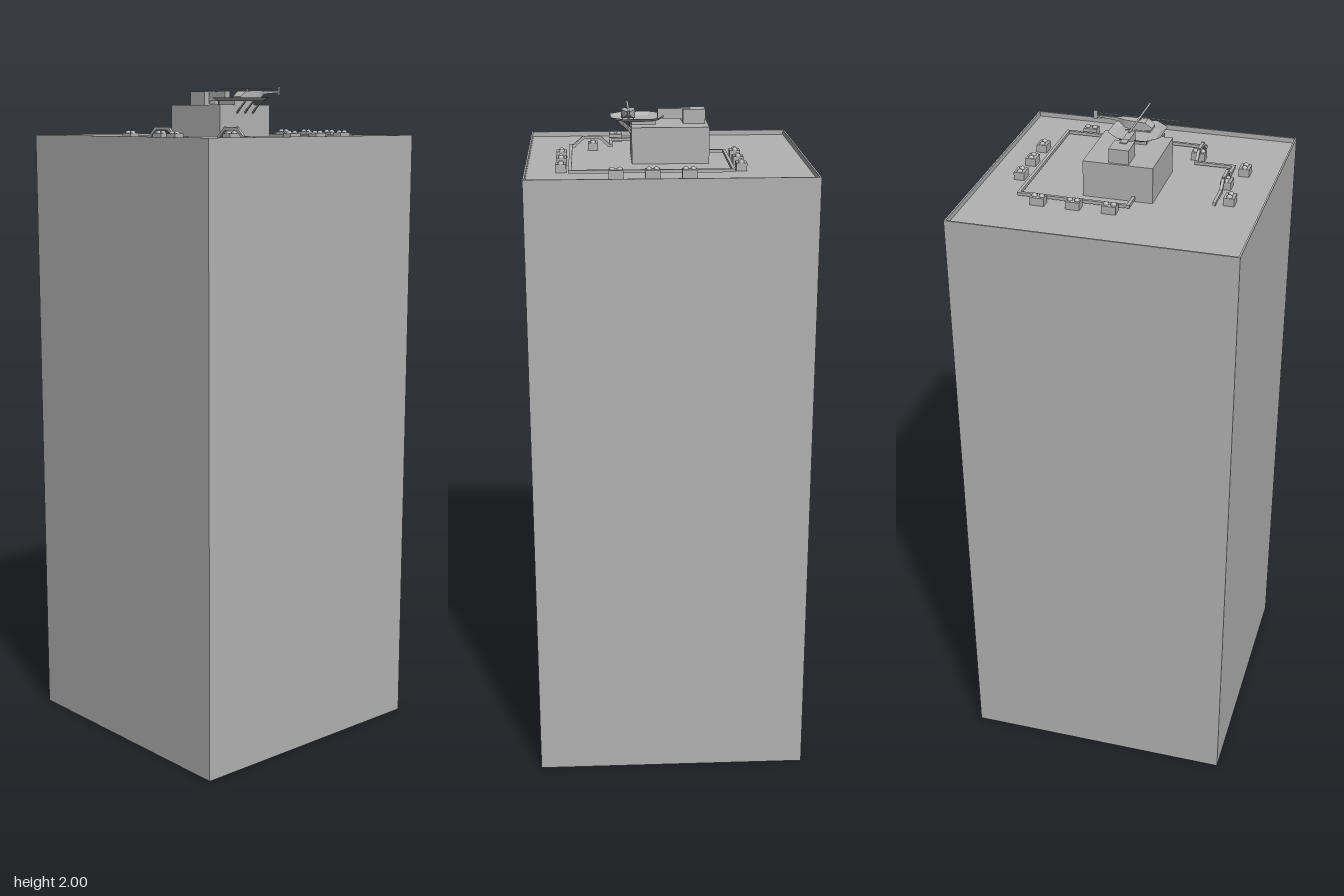
import * as THREE from 'three';

const grey = new THREE.MeshStandardMaterial({ color: 0xb2b2b2, side: THREE.DoubleSide });
grey.name = 'concrete grey';
const ROOF = 1.84;

function part(parent, name, geometry, x = 0, y = 0, z = 0) {
  const mesh = new THREE.Mesh(geometry, grey);
  mesh.name = name;
  mesh.position.set(x, y, z);
  parent.add(mesh);
  return mesh;
}

// box given by its limits on each axis
function block(parent, name, [x0, x1], [y0, y1], [z0, z1]) {
  return part(parent, name, new THREE.BoxGeometry(x1 - x0, y1 - y0, z1 - z0),
    (x0 + x1) / 2, (y0 + y1) / 2, (z0 + z1) / 2);
}

// square bar between two points
function bar(parent, name, a, b, size) {
  const mesh = part(parent, name, new THREE.BoxGeometry(size, size, a.distanceTo(b) + size * 0.9));
  mesh.position.copy(a).add(b).multiplyScalar(0.5);
  mesh.lookAt(b);
  return mesh;
}

// faceted skin through rings of equal point count, with optional end caps
function loft(rings, capStart, capEnd) {
  const pos = [];
  const tri = (...pts) => pts.forEach(p => pos.push(...p));
  const n = rings[0].length;
  for (let r = 0; r + 1 < rings.length; r++) {
    for (let i = 0; i < n; i++) {
      const j = (i + 1) % n, [p, q] = [rings[r], rings[r + 1]];
      tri(p[i], p[j], q[j]);
      tri(p[i], q[j], q[i]);
    }
  }
  const first = rings[0], last = rings[rings.length - 1];
  for (let i = 1; i + 1 < n; i++) {
    if (capStart) tri(first[0], first[i + 1], first[i]);
    if (capEnd) tri(last[0], last[i], last[i + 1]);
  }
  const g = new THREE.BufferGeometry();
  g.setAttribute('position', new THREE.Float32BufferAttribute(pos, 3));
  g.computeVertexNormals();
  return g;
}

const square = (s, y) => [[s, y, s], [s, y, -s], [-s, y, -s], [-s, y, s]];
const octagon = (s, e, y) => [[s, y, e], [s, y, -e], [e, y, -s], [-e, y, -s],
  [-s, y, -e], [-s, y, e], [-e, y, s], [e, y, s]];

// rooftop unit: a box with two domed fans
function fanUnit(parent, x, z, turned) {
  const unit = new THREE.Group();
  unit.name = 'fanUnit';
  part(unit, 'unitBox', new THREE.BoxGeometry(0.041, 0.023, 0.031), 0, 0.0115, 0);
  for (const s of [-1, 1]) {
    part(unit, 'fanDome',
      new THREE.SphereGeometry(0.0085, 12, 5, 0, Math.PI * 2, 0, Math.PI / 2).scale(1, 0.9, 1),
      s * 0.0108, 0.023, 0);
  }
  unit.position.set(x, ROOF, z);
  if (turned) unit.rotation.y = Math.PI / 2;
  parent.add(unit);
}

function helicopter() {
  const heli = new THREE.Group();
  heli.name = 'helicopter';
  // z, half width, bottom, top; from nose to tail
  const sections = [
    [0.04, 0.017, 0.006, 0.012], [0.02, 0.02, 0.004, 0.028], [-0.02, 0.02, 0.004, 0.03],
    [-0.042, 0.016, 0.007, 0.03], [-0.066, 0.004, 0.02, 0.029], [-0.132, 0.002, 0.025, 0.029],
  ];
  part(heli, 'fuselage', loft(sections.map(([z, w, lo, hi]) =>
    [[w, hi, z], [w, lo, z], [-w, lo, z], [-w, hi, z]]), true, true));
  block(heli, 'tailFin', [-0.001, 0.001], [0.018, 0.043], [-0.139, -0.127]);
  block(heli, 'tailRotor', [0.002, 0.004], [0.016, 0.04], [-0.135, -0.132]);
  block(heli, 'mast', [-0.003, 0.003], [0.028, 0.036], [-0.003, 0.003]);
  block(heli, 'rotorBlades', [-0.117, 0.117], [0.035, 0.0365], [-0.003, 0.003]);
  block(heli, 'rotorBlades', [-0.003, 0.003], [0.035, 0.0365], [-0.125, 0.115]);
  for (const s of [-1, 1]) {
    block(heli, 'skid', [s * 0.016 - 0.0015, s * 0.016 + 0.0015], [0, 0.002], [-0.04, 0.035]);
    for (const z of [-0.02, 0.015]) {
      block(heli, 'skidLeg', [s * 0.016 - 0.001, s * 0.016 + 0.001], [0.001, 0.006], [z - 0.001, z + 0.001]);
    }
  }
  heli.position.set(0.11, 1.957, 0);
  return heli;
}

export function createModel() {
  const model = new THREE.Group();
  model.name = 'tower';

  // open-bottomed tower shell with a low parapet and sunken roof
  part(model, 'towerShell', loft([square(0.409, 0), square(0.409, 1.855),
    square(0.404, 1.855), square(0.404, ROOF)], false, true));

  // penthouse with stair hut and passage to the pad
  block(model, 'penthouse', [-0.124, 0.102], [ROOF, 1.945], [-0.102, 0.1]);
  block(model, 'stairHut', [-0.117, -0.051], [1.945, 1.986], [-0.029, 0.029]);
  block(model, 'passage', [-0.073, -0.047], [1.95, 1.989], [-0.01, 0.01]);
  block(model, 'passage', [-0.047, 0.023], [1.957, 1.986], [-0.01, 0.01]);

  // landing pad with raised rim and struts
  part(model, 'landingPad', loft([octagon(0.062, 0.033, 1.956), octagon(0.078, 0.041, 1.966)], true, false),
    0.084, 0, 0);
  block(model, 'padBase', [0.03, 0.1], [1.945, 1.956], [-0.04, 0.04]);
  for (const z of [-0.032, 0, 0.032]) {
    bar(model, 'padStrut', new THREE.Vector3(0.102, 1.922, z), new THREE.Vector3(0.138, 1.954, z), 0.004);
  }
  model.add(helicopter());

  // roof pipe, stepping over two units
  const lo = 1.851, hi = 1.876;
  const route = [
    [-0.124, lo, 0.045], [-0.18, lo, 0.045], [-0.18, lo, -0.273], [0.281, lo, -0.273],
    [0.281, lo, 0.157], [0.272, lo, 0.157], [0.243, hi, 0.157], [0.192, hi, 0.157],
    [0.164, lo, 0.157], [0.158, lo, 0.157], [0.158, lo, 0.27], [0.097, lo, 0.27],
    [0.07, hi, 0.27], [0.012, hi, 0.27], [-0.016, lo, 0.27], [-0.1, lo, 0.27],
  ].map(p => new THREE.Vector3(...p));
  for (let i = 0; i + 1 < route.length; i++) bar(model, 'roofPipe', route[i], route[i + 1], 0.009);

  // fan units around the roof
  for (const x of [-0.053, 0.05, 0.153]) fanUnit(model, x, -0.31, false);
  for (const x of [-0.207, 0.307]) {
    for (const z of [-0.207, -0.104, 0]) fanUnit(model, x, z, true);
  }
  for (const x of [-0.063, 0.142]) fanUnit(model, x, 0.307, false);
  fanUnit(model, 0.04, 0.275, false);
  fanUnit(model, 0.214, 0.153, true);
  return model;
}
